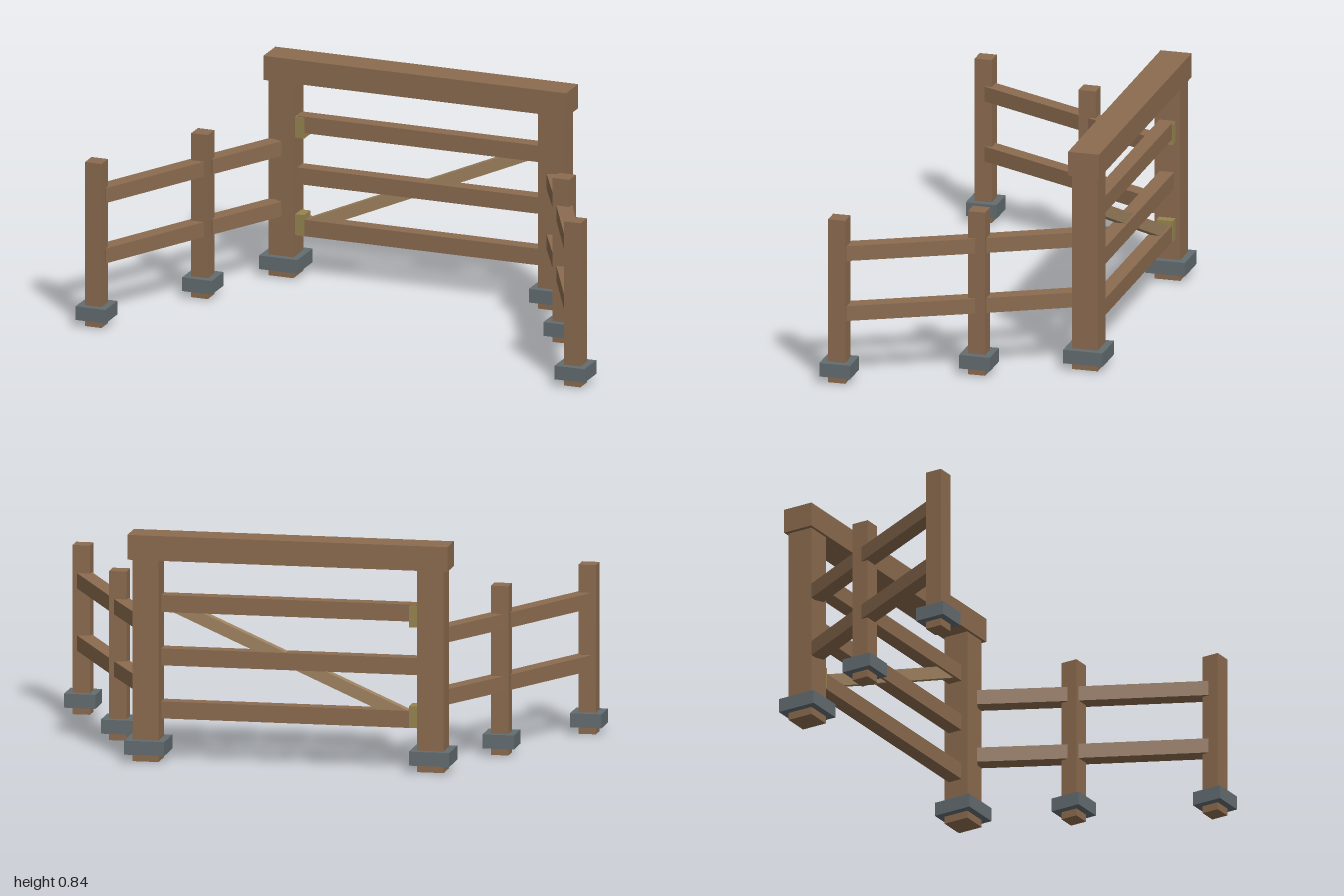
import * as THREE from 'three';

const wood = new THREE.MeshStandardMaterial({ color: 0x8b6b4f, flatShading: true });
const paleWood = new THREE.MeshStandardMaterial({ color: 0xa08360, flatShading: true });
const stone = new THREE.MeshStandardMaterial({ color: 0x636c70, flatShading: true });
const brass = new THREE.MeshStandardMaterial({ color: 0x96854f, flatShading: true });

export function createModel() {
  const model = new THREE.Group();
  model.name = 'fenceGate';

  function box(name, material, size, position, parent = model) {
    const mesh = new THREE.Mesh(new THREE.BoxGeometry(...size), material);
    mesh.name = name;
    mesh.position.set(...position);
    parent.add(mesh);
    return mesh;
  }

  // Post with a stone collar near the ground
  function post(name, x, z, width, height, collar) {
    const group = new THREE.Group();
    group.name = name;
    group.position.set(x, 0, z);
    box('shaft', wood, [width, height, width], [0, height / 2, 0], group);
    box('footing', stone, [collar, 0.052, collar], [0, 0.054, 0], group);
    model.add(group);
  }

  // Square rail between two points of the plan
  function rail(name, x1, z1, x2, z2, y) {
    const length = Math.hypot(x2 - x1, z2 - z1);
    const mesh = box(name, wood, [0.058, 0.057, length], [(x1 + x2) / 2, y, (z1 + z2) / 2]);
    mesh.rotation.y = Math.atan2(x2 - x1, z2 - z1);
  }

  const gateZ = -0.404;

  // Splayed fence wings on both sides
  for (const [side, s] of [['left', 1], ['right', -1]]) {
    post(side + 'GatePost', s * 0.53, gateZ, 0.098, 0.76, 0.15);
    post(side + 'MiddlePost', s * 0.71, -0.041, 0.065, 0.628, 0.117);
    post(side + 'EndPost', s * 0.941, 0.422, 0.065, 0.628, 0.117);
    for (const y of [0.265, 0.496]) {
      rail(side + 'InnerRail', s * 0.547, -0.352, s * 0.7, -0.058, y);
      rail(side + 'OuterRail', s * 0.718, -0.022, s * 0.932, 0.404, y);
    }
  }

  // Lintel across the gate posts
  box('lintel', wood, [1.19, 0.092, 0.118], [0, 0.795, gateZ]);

  // Gate leaf: three bars and a diagonal brace
  const gate = new THREE.Group();
  gate.name = 'gate';
  gate.position.z = gateZ;
  model.add(gate);
  for (const y of [0.19, 0.387, 0.585]) box('gateBar', wood, [0.95, 0.063, 0.055], [0, y, 0], gate);
  const brace = box('brace', paleWood, [0.94, 0.045, 0.035], [0, 0.388, 0], gate);
  brace.rotation.z = Math.atan2(0.37, 0.85);

  // Hinges beside the right gate post
  for (const y of [0.2, 0.573]) box('hinge', brass, [0.036, 0.08, 0.062], [-0.464, y, 0], gate);

  return model;
}
